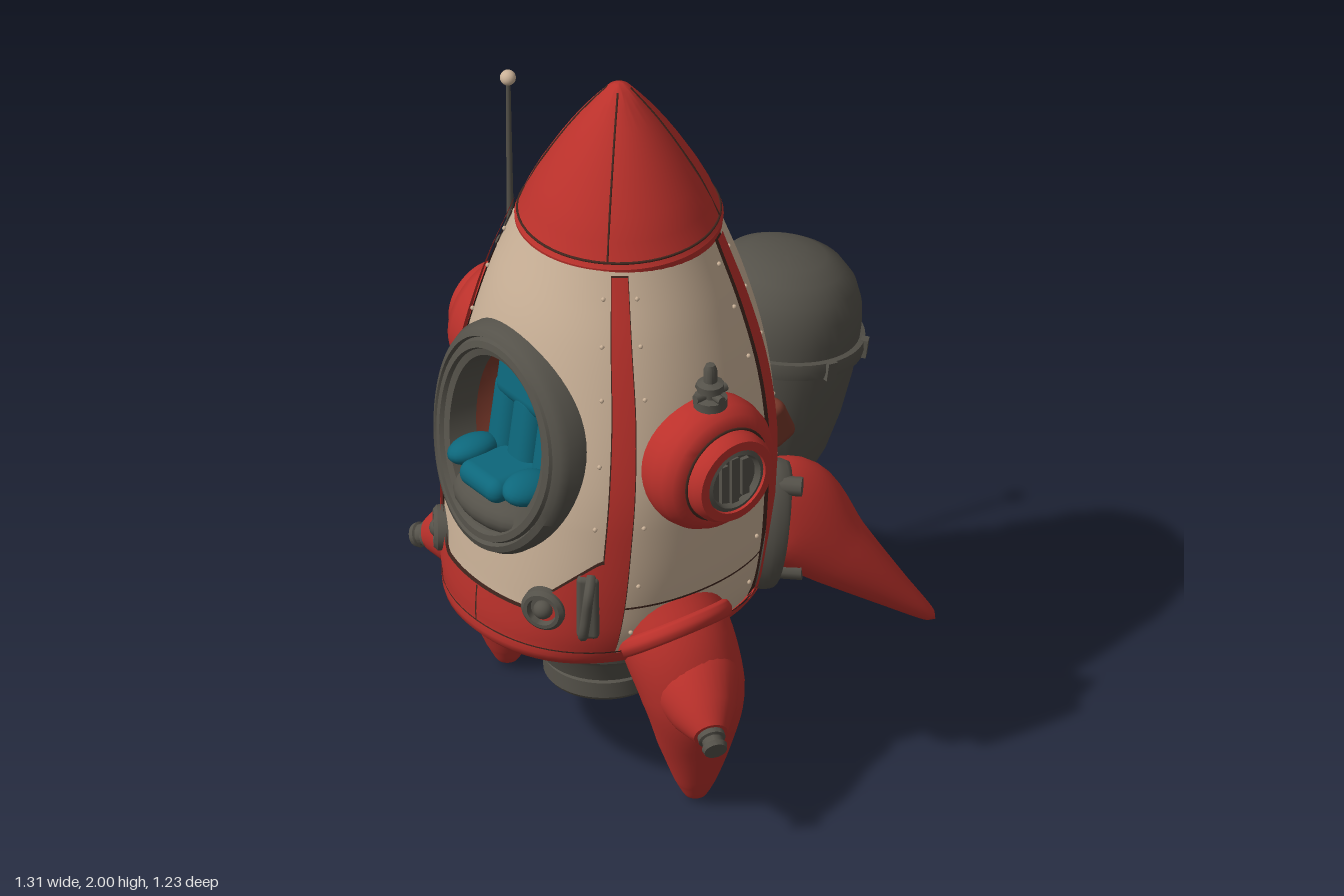
import * as THREE from 'three';
import { mergeVertices, toCreasedNormals } from 'three/addons/utils/BufferGeometryUtils.js';
import { RoundedBoxGeometry } from 'three/addons/geometries/RoundedBoxGeometry.js';

const V = (x, y, z = 0) => new THREE.Vector3(x, y, z);
const { clamp } = THREE.MathUtils;
const material = (name, color, side = THREE.FrontSide) => {
  const m = new THREE.MeshStandardMaterial({ color, side });
  m.name = name;
  return m;
};

// Surface from a rule f(u, v) -> Vector3, optionally skipping cells
function grid(nu, nv, f, skip) {
  const pos = [], idx = [];
  for (let j = 0; j <= nv; j++) for (let i = 0; i <= nu; i++) pos.push(...f(i / nu, j / nv).toArray());
  for (let j = 0; j < nv; j++) for (let i = 0; i < nu; i++) {
    if (skip && skip(f((i + 0.5) / nu, (j + 0.5) / nv))) continue;
    const a = j * (nu + 1) + i, b = a + 1, c = b + nu + 1, d = a + nu + 1;
    idx.push(a, b, c, a, c, d);
  }
  let g = new THREE.BufferGeometry();
  g.setAttribute('position', new THREE.Float32BufferAttribute(pos, 3));
  g.setIndex(idx);
  g = mergeVertices(g, 1e-5);
  g.computeVertexNormals();
  return g;
}

// Elliptical tube through sections [x, y, z, r1, r2]; r2 lies along ref
function loft(secs, ref, steps = 24) {
  const path = new THREE.CatmullRomCurve3(secs.map(s => V(s[0], s[1], s[2])));
  const radii = new THREE.CatmullRomCurve3(secs.map(s => V(s[3], s[4], 0)));
  return grid(32, steps, (u, v) => {
    const n = path.getTangent(v), e1 = ref.clone().cross(n).normalize(), e2 = n.clone().cross(e1);
    const r = radii.getPoint(v), t = u * Math.PI * 2;
    return path.getPoint(v).addScaledVector(e1, Math.max(0, r.x) * Math.cos(t))
      .addScaledVector(e2, Math.max(0, r.y) * Math.sin(t));
  });
}

const lathe = (pts, n = 48) => toCreasedNormals(
  new THREE.LatheGeometry(pts.map(p => new THREE.Vector2(p[0], p[1])), n), 0.6);

// Hull cross-sections: heights, then x radius, z radius, z centre; slightly squared low down
const hull = new THREE.CubicInterpolant(
  [0.42, 0.47, 0.52, 0.65, 0.85, 1.0, 1.2, 1.4, 1.59],
  [0.27, 0.29, 0.17, 0.345, 0.39, 0.175, 0.375, 0.405, 0.17, 0.405, 0.41, 0.16, 0.42, 0.405, 0.15,
    0.42, 0.4, 0.14, 0.39, 0.375, 0.13, 0.335, 0.33, 0.13, 0.265, 0.265, 0.13], 3);
function surf(a, y, off = 0) {
  const [rx, rz, cz] = hull.evaluate(y);
  const k = 1 + 0.037 * clamp((1.5 - y) / 0.6, 0, 1) * Math.sin(2 * a) ** 2;
  return V((rx * k + off) * Math.sin(a), y, cz + (rz * k + off) * Math.cos(a));
}
// Patch of the hull; high may be a function of the angle
function patch(a0, a1, low, high, off, nu = 8, nv = 32, skip) {
  return grid(nu, nv, (u, v) => {
    const a = a0 + (a1 - a0) * u, top = typeof high === 'function' ? high(a) : high;
    return surf(a, low + (top - low) * v, off);
  }, skip);
}

export function createModel() {
  const root = new THREE.Group();
  root.name = 'rocket';
  const red = material('red paint', 0xbb312b, THREE.DoubleSide);
  const cream = material('cream panels', 0xcbb298, THREE.DoubleSide);
  const grey = material('dark metal', 0x55524a, THREE.DoubleSide);
  const teal = material('teal upholstery', 0x0d677b);
  const brown = material('cabin brown', 0x78382a, THREE.DoubleSide);
  const seam = material('seam line', 0x42271f, THREE.DoubleSide);
  const add = (name, geo, mat, p = V(0, 0, 0), dir) => {
    const m = new THREE.Mesh(geo, mat);
    m.name = name;
    m.position.copy(p);
    if (dir) m.quaternion.setFromUnitVectors(V(0, 1, 0), dir.clone().normalize());
    root.add(m);
    return m;
  };
  const sphere = (r, n = 20) => new THREE.SphereGeometry(r, n, Math.ceil(n * 0.7));

  // Hull with the window opening left out
  const wy = 1.055;
  add('hull', patch(-Math.PI, Math.PI, 0.49, 1.59, 0, 160, 72, p =>
    p.z > 0.3 && (p.x / 0.225) ** 2 + ((p.y - wy) / 0.265) ** 2 < 1), cream);
  add('hullUnderside', patch(-Math.PI, Math.PI, 0.42, 0.5, 0.006, 72, 6), red);
  add('undersideCap', grid(72, 1, (u, v) => surf(u * 2 * Math.PI, 0.42, 0.006).lerp(V(0, 0.42, 0.17), 1 - v)), red);
  add('baseBelt', patch(-Math.PI, Math.PI, 0.466, 0.512, 0.016, 72, 3), red);
  add('beltSeam', patch(-Math.PI, Math.PI, 0.512, 0.516, 0.014, 72, 1), seam);

  // Four long stripes with dark borders, and rivets alongside
  const A = 0.945, stripes = [A, -A, Math.PI - A, A - Math.PI];
  const rivet = (a, y) => add('rivet', sphere(0.0065, 6), cream, surf(a, y, 0.003));
  for (const a of stripes) {
    add('stripeBorder', patch(a - 0.083, a + 0.083, 0.5, 1.58, 0.004), seam);
    add('stripe', patch(a - 0.075, a + 0.075, 0.49, 1.58, 0.013), red);
    for (const y of [0.57, 0.72, 0.9, 1.08, 1.26, 1.4, 1.52]) { rivet(a - 0.15, y); rivet(a + 0.15, y); }
  }
  // Side panel joints
  for (const c of [Math.PI / 2, -Math.PI / 2])
    add('sidePanelJoint', patch(c - 0.55, c + 0.55, 0.648, 0.654, 0.003, 20, 1), seam);

  // Red lower panels, front and rear, with a V-shaped upper edge
  const vee = a => 0.622 + 0.178 * clamp((Math.abs(0.42 * Math.sin(a)) - 0.165) / 0.15, 0, 1);
  for (const [name, c] of [['front', 0], ['rear', Math.PI]]) {
    add(name + 'PanelBorder', patch(c - A, c + A, 0.5, a => vee(a) + 0.006, 0.005, 64, 12), seam);
    add(name + 'Panel', patch(c - A, c + A, 0.49, vee, 0.012, 64, 12), red);
  }
  add('frontPanelJoint', patch(-0.006, 0.006, 0.515, 0.622, 0.015, 1, 4), seam);

  // Port fittings on the front panel
  for (const a of [-0.62, 0.53]) {
    const dir = V(Math.sin(a), 0, Math.cos(a));
    add('portRing', lathe([[0.06, -0.03], [0.06, 0.02], [0.05, 0.03], [0.04, 0.03], [0.036, 0.012], [0, 0.012]], 28),
      grey, surf(a, 0.64), dir);
    add('portKnob', sphere(0.026), grey, surf(a, 0.64, 0.015));
  }
  const handle = new THREE.CatmullRomCurve3([0.57, 0.6, 0.66, 0.72, 0.76].map((y, i) =>
    surf(0.8, y, [0.005, 0.045, 0.05, 0.045, 0.005][i])));
  add('handle', new THREE.TubeGeometry(handle, 20, 0.014, 8), grey);
  add('handlePlate', new RoundedBoxGeometry(0.06, 0.19, 0.03, 2, 0.014), grey, surf(0.8, 0.665, 0.008)).rotation.y = 0.8;

  // Nose cone
  const noseZ = 0.122;
  add('noseCone', lathe([[0.25, 1.565], [0.269, 1.57], [0.272, 1.595], [0.263, 1.61], [0.244, 1.66], [0.214, 1.72],
    [0.167, 1.8], [0.135, 1.85], [0.1, 1.9], [0.06, 1.95], [0.03, 1.985], [0.012, 1.997], [0, 2]], 56), red, V(0, 0, noseZ));
  add('noseSeam', new THREE.TorusGeometry(0.264, 0.0035, 6, 56).rotateX(Math.PI / 2), seam, V(0, 1.61, noseZ));
  for (const a of [0.8, -0.8, Math.PI - 0.8, 0.8 - Math.PI]) {
    const line = new THREE.CatmullRomCurve3([[0.263, 1.61], [0.214, 1.72], [0.167, 1.8], [0.1, 1.9], [0.03, 1.985]]
      .map(([r, y]) => V(r * Math.sin(a), y, noseZ + r * Math.cos(a))));
    add('noseRib', new THREE.TubeGeometry(line, 20, 0.003, 6), seam);
  }

  // Oval window frame: a stepped profile [inset, depth] swept round a leaning, bowed ellipse
  const frame = [[0, -0.085], [0, -0.03], [-0.012, -0.008], [-0.03, 0], [-0.036, -0.012], [-0.042, 0],
    [-0.06, 0.002], [-0.066, -0.01], [-0.085, -0.016], [-0.09, -0.1]];
  add('windowFrame', toCreasedNormals(grid(64, frame.length - 1, (u, v) => {
    const [s, d] = frame[Math.round(v * (frame.length - 1))], t = u * Math.PI * 2;
    const x = (0.275 + s) * Math.cos(t), y = (0.315 + s) * Math.sin(t);
    return V(x, wy + y, 0.556 - 0.15 * y - 0.4 * x * x + d);
  }), 0.6), grey);

  // Cabin and seat
  const cabin = add('cabin', new THREE.SphereGeometry(1, 32, 16, 0, Math.PI * 2, 0, Math.PI / 2).rotateX(-Math.PI / 2),
    brown, V(0, wy, 0.455));
  cabin.scale.set(0.235, 0.275, 0.28);
  for (const [w, x, h, y, z] of [[0.1, -0.094, 0.24, 1.04, 0.405], [0.11, 0, 0.24, 1.04, 0.41],
    [0.1, 0.094, 0.24, 1.04, 0.405], [0.265, 0, 0.18, 1.18, 0.39]])
    add('seatBack', new RoundedBoxGeometry(w, h, 0.09, 5, 0.043), teal, V(x, y, z)).rotation.x = -0.15;
  add('seatCushion', new RoundedBoxGeometry(0.17, 0.07, 0.18, 4, 0.034), teal, V(0, 0.935, 0.505));
  for (const s of [-1, 1]) {
    const pad = add('armrest', sphere(1), teal, V(s * 0.117, 0.955, 0.51));
    pad.scale.set(0.054, 0.038, 0.075);
    pad.rotation.z = -s * 0.3;
  }
  add('cabinSill', sphere(1), grey, V(0, 0.855, 0.5)).scale.set(0.17, 0.065, 0.105);

  for (const s of [-1, 1]) {
    // Side pods with a slatted porthole
    const out = V(s, 0, 0), at = x => V(s * x, 1.05, 0.15);
    add('sidePod', lathe([[0.18, 0], [0.186, 0.08], [0.18, 0.115], [0.165, 0.143], [0.14, 0.157], [0.128, 0.157],
      [0.127, 0.182], [0.116, 0.203], [0.092, 0.205], [0.088, 0.17]]), red, at(0.335), out);
    add('podSeam', new THREE.TorusGeometry(0.131, 0.004, 6, 40).rotateX(Math.PI / 2), seam, at(0.493), out);
    add('porthole', lathe([[0.09, 0], [0.09, 0.025], [0.078, 0.03], [0.072, 0.012], [0, 0.012]], 36), grey, at(0.508), out);
    for (const k of [-1, 0, 1])
      add('portholeSlat', new THREE.BoxGeometry(0.012, k ? 0.11 : 0.135, 0.022), grey, at(0.526).add(V(0, 0, k * 0.034)));

    // Fitting on top of each pod
    const x = s * 0.425;
    add('podFitting', lathe([[0.045, 0], [0.045, 0.025], [0.025, 0.03], [0.025, 0.045], [0.036, 0.048], [0.036, 0.068],
      [0.018, 0.075], [0.018, 0.11], [0.012, 0.125], [0, 0.128]], 16), grey, V(x, 1.23, 0.15));
    for (const d of [V(1, 0, 0), V(0, 0, 1)])
      add('fittingBolt', new THREE.CylinderGeometry(0.012, 0.012, 0.1, 10), grey, V(x, 1.267, 0.15), d);

    // Front landing legs with collars and side nozzles
    const Z = V(0, 0, 1);
    add('landingLeg', loft([[s * 0.3, 0.57, 0.21, 0.13, 0.15], [s * 0.37, 0.48, 0.21, 0.14, 0.15],
      [s * 0.415, 0.36, 0.2, 0.135, 0.138], [s * 0.405, 0.2, 0.185, 0.1, 0.1], [s * 0.4, 0.07, 0.18, 0.055, 0.055],
      [s * 0.4, 0.02, 0.18, 0.028, 0.028], [s * 0.4, 0.005, 0.18, 0, 0]], Z, 36), red);
    add('legCollar', loft([[s * 0.325, 0.543, 0.212, 0.1, 0.12], [s * 0.334, 0.531, 0.212, 0.15, 0.162],
      [s * 0.346, 0.515, 0.212, 0.155, 0.168], [s * 0.358, 0.499, 0.212, 0.145, 0.158],
      [s * 0.364, 0.491, 0.212, 0.1, 0.12]], Z, 16), red);
    const jet = V(s * 0.2, -0.09, 0.08);
    add('legNozzle', lathe([[0.13, -0.04], [0.118, 0.06], [0.085, 0.15], [0.055, 0.2], [0.045, 0.215], [0, 0.215]], 32),
      red, V(s * 0.41, 0.425, 0.205), jet);
    add('nozzleTip', lathe([[0.036, 0], [0.036, 0.025], [0.028, 0.028], [0.028, 0.045], [0.034, 0.048], [0.03, 0.062], [0, 0.062]], 20),
      grey, V(s * 0.585, 0.346, 0.275), jet);

    // Rear fins, each in an upright dark bracket
    const X = V(1, 0, 0);
    add('rearFin', loft([[s * 0.245, 0.71, -0.1, 0.13, 0.075], [s * 0.287, 0.685, -0.2, 0.15, 0.092],
      [s * 0.356, 0.55, -0.32, 0.1, 0.073], [s * 0.42, 0.42, -0.44, 0.053, 0.044],
      [s * 0.465, 0.32, -0.535, 0.018, 0.018], [s * 0.472, 0.303, -0.55, 0, 0]], X, 32), red);
    add('finBracket', loft([[s * 0.262, 0.67, -0.11, 0.12, 0.05], [s * 0.268, 0.668, -0.12, 0.18, 0.092],
      [s * 0.282, 0.664, -0.15, 0.19, 0.1], [s * 0.294, 0.66, -0.18, 0.18, 0.095], [s * 0.3, 0.658, -0.19, 0.12, 0.05]], X, 16), grey);
    for (const y of [0.8, 0.67, 0.54])
      add('bracketBolt', new THREE.CylinderGeometry(0.026, 0.026, 0.08, 10), grey, V(s * 0.335, y, -0.17), V(s * 0.6, 0, -0.6));
    add('tankBrace', new RoundedBoxGeometry(0.07, 0.13, 0.09, 2, 0.025), brown, V(s * 0.183, 0.89, -0.24)).rotation.x = 0.4;
  }

  // Antenna on the right pod
  add('antennaRod', new THREE.CylinderGeometry(0.006, 0.01, 0.48, 8), grey, V(-0.43, 1.55, 0.15), V(-0.02, 1, 0));
  add('antennaTip', sphere(0.021), cream, V(-0.436, 1.795, 0.15));

  // Rear tank, leaning back, with a clamped band
  const tank = new THREE.Group();
  tank.name = 'rearTank';
  tank.position.set(0, 1.018, -0.388);
  tank.rotation.x = -0.17;
  root.add(tank);
  tank.add(add('tankShell', lathe([[0, -0.46], [0.06, -0.453], [0.11, -0.425], [0.15, -0.37], [0.178, -0.3], [0.2, -0.2],
    [0.215, -0.08], [0.22, 0], [0.22, 0.06], [0.212, 0.115], [0.192, 0.165], [0.155, 0.207], [0.105, 0.232],
    [0.05, 0.243], [0, 0.245]]), grey));
  tank.add(add('tankBand', lathe([[0.215, -0.025], [0.234, -0.022], [0.238, 0], [0.234, 0.022], [0.215, 0.025]]), grey));
  for (const a of [Math.PI / 2, -Math.PI / 2, Math.PI - 0.8, 0.8 - Math.PI]) {
    const clip = add('bandClip', new THREE.BoxGeometry(0.03, 0.05, 0.02), grey, V(0.235 * Math.sin(a), 0, 0.235 * Math.cos(a)));
    clip.rotation.y = a;
    tank.add(clip);
  }

  // Stepped, hollow main thruster
  add('mainThruster', lathe([[0, 0.33], [0.1, 0.32], [0.115, 0.2], [0.15, 0.195], [0.157, 0.205], [0.157, 0.25], [0.148, 0.255],
    [0.165, 0.265], [0.185, 0.32], [0.192, 0.335], [0.2, 0.34], [0.225, 0.355], [0.23, 0.385], [0.245, 0.39], [0.265, 0.425]]), grey, V(0, 0, 0.172));
  return root;
}
